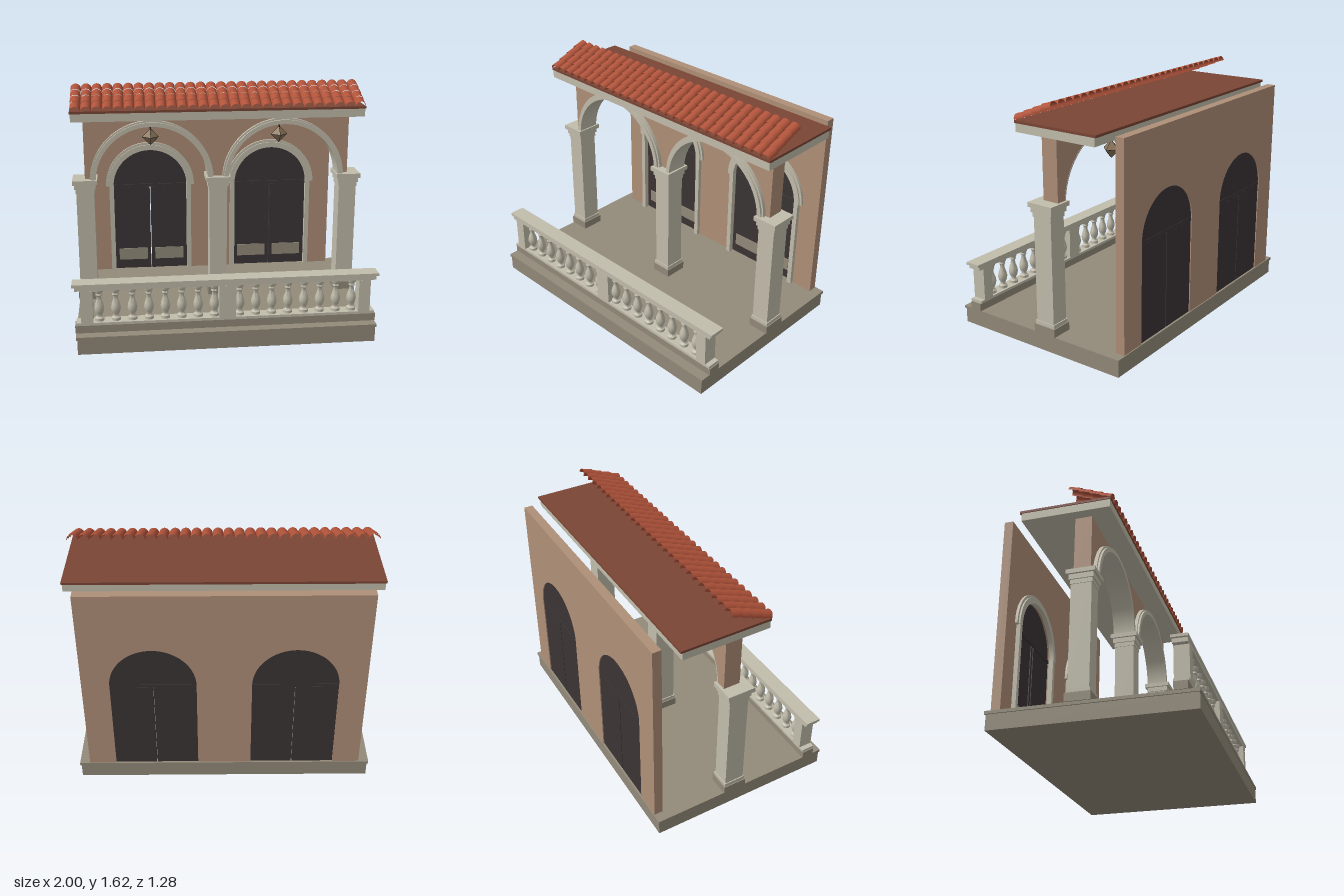
import * as THREE from 'three';
import { toCreasedNormals } from 'three/addons/utils/BufferGeometryUtils.js';

const mat = (name, color, side = THREE.FrontSide) => {
  const m = new THREE.MeshStandardMaterial({ color, side });
  m.name = name;
  return m;
};

export function createModel() {
  const M = {
    stone: mat('pale stone', 0xc2bdac),
    base: mat('grey stone', 0x938b7a),
    wall: mat('tan plaster', 0xaf8f77),
    door: mat('dark wood', 0x3b3435),
    tile: mat('terracotta tile', 0xb1533a, THREE.DoubleSide),
    deck: mat('roof deck', 0x7a4535),
    iron: mat('iron', 0x2a2424),
    glass: mat('lantern glass', 0x8d7559),
  };
  const model = new THREE.Group();
  model.name = 'loggia';
  const BAYS = [-0.455, 0.455];

  const group = (name, parent = model) => {
    const g = new THREE.Group();
    g.name = name;
    parent.add(g);
    return g;
  };
  const add = (name, geo, m, parent = model) => {
    const mesh = new THREE.Mesh(geo, m);
    mesh.name = name;
    parent.add(mesh);
    return mesh;
  };
  // box given by its limits on each axis
  const box = (name, [x0, x1], [y0, y1], [z0, z1], m, parent) => {
    const mesh = add(name, new THREE.BoxGeometry(x1 - x0, y1 - y0, z1 - z0), m, parent);
    mesh.position.set((x0 + x1) / 2, (y0 + y1) / 2, (z0 + z1) / 2);
    return mesh;
  };
  const extrude = (name, shape, z0, z1, m, parent) => {
    const geo = new THREE.ExtrudeGeometry(shape, { depth: z1 - z0, bevelEnabled: false, curveSegments: 28 });
    const mesh = add(name, toCreasedNormals(geo, 0.6), m, parent);
    mesh.position.z = z0;
    return mesh;
  };
  // wall outline with an arched notch in each bay
  const arcadeShape = (w, y0, y1, r, spring) => {
    const s = new THREE.Shape();
    s.moveTo(-w, y0);
    for (const cx of BAYS) {
      s.lineTo(cx - r, y0);
      if (spring > y0) s.lineTo(cx - r, spring);
      s.absarc(cx, spring, r, Math.PI, 0, true);
      if (spring > y0) s.lineTo(cx + r, y0);
    }
    s.lineTo(w, y0);
    s.lineTo(w, y1);
    s.lineTo(-w, y1);
    s.closePath();
    return s;
  };
  // half ring for arch mouldings
  const ringShape = (cx, cy, rOut, rIn) => {
    const s = new THREE.Shape();
    s.absarc(cx, cy, rOut, 0, Math.PI, false);
    s.absarc(cx, cy, rIn, Math.PI, 0, true);
    s.closePath();
    return s;
  };

  // floor platform
  box('platform', [-0.972, 0.972], [0, 0.1], [-0.635, 0.637], M.base);
  box('floorSlab', [-0.98, 0.98], [0.1, 0.12], [-0.642, 0.642], M.base);

  // rear wall with two doorways
  extrude('rearWall', arcadeShape(0.912, 0.12, 1.465, 0.278, 0.785), -0.635, -0.575, M.wall);
  for (const cx of BAYS) {
    const d = group('doorway');
    for (const s of [-1, 1]) {
      const span = (a, b) => [cx + Math.min(s * a, s * b), cx + Math.max(s * a, s * b)];
      box('doorLeaf', span(0.003, 0.278), [0.12, 0.765], [-0.628, -0.59], M.door, d);
      box('doorStile', span(0.006, 0.03), [0.12, 0.765], [-0.59, -0.584], M.door, d);
      box('kickPanel', span(0.028, 0.245), [0.19, 0.28], [-0.59, -0.583], M.base, d);
      box('jamb', span(0.272, 0.305), [0.12, 0.79], [-0.58, -0.547], M.stone, d);
    }
    box('transom', [cx - 0.278, cx + 0.278], [0.768, 0.79], [-0.631, -0.58], M.door, d);
    const fan = new THREE.Shape();
    fan.absarc(cx, 0.785, 0.279, 0, Math.PI, false);
    extrude('fanlight', fan, -0.628, -0.59, M.door, d);
    extrude('doorArchOuter', ringShape(cx, 0.785, 0.33, 0.273), -0.576, -0.557, M.stone, d);
    extrude('doorArchInner', ringShape(cx, 0.785, 0.312, 0.273), -0.576, -0.546, M.stone, d);
  }

  // front arcade wall with moulded arches
  extrude('arcadeWall', arcadeShape(0.912, 0.965, 1.405, 0.388, 0.965), -0.145, -0.032, M.wall);
  for (const cx of BAYS) {
    extrude('archMouldingOuter', ringShape(cx, 0.96, 0.425, 0.384), -0.034, -0.008, M.stone);
    extrude('archMouldingInner', ringShape(cx, 0.96, 0.413, 0.384), -0.034, 0.006, M.stone);
    extrude('archSoffit', ringShape(cx, 0.96, 0.393, 0.384), -0.146, -0.034, M.stone);
  }

  // square columns: [half width, bottom, top, material]
  const tiers = [
    [0.081, 0.12, 0.175, M.base], [0.074, 0.175, 0.2, M.stone], [0.067, 0.2, 0.89, M.stone],
    [0.072, 0.89, 0.92, M.stone], [0.08, 0.92, 0.955, M.stone], [0.094, 0.955, 0.985, M.stone],
  ];
  for (const cx of [-0.913, 0, 0.913]) {
    const c = group('column');
    for (const [h, y0, y1, m] of tiers) {
      const w = h * 0.9;
      box('columnTier', [cx - w, cx + w], [y0, y1], [-0.07 - h, -0.07 + h], m, c);
    }
  }

  // balustrade
  const rail = group('balustrade');
  box('plinth', [-0.985, 0.985], [0.12, 0.172], [0.49, 0.574], M.base, rail);
  box('bottomRail', [-0.978, 0.978], [0.172, 0.19], [0.487, 0.577], M.stone, rail);
  box('underRail', [-0.98, 0.98], [0.41, 0.437], [0.485, 0.578], M.stone, rail);
  box('handRail', [-0.997, 0.997], [0.437, 0.455], [0.479, 0.584], M.stone, rail);
  for (const [x0, x1] of [[-0.945, -0.868], [-0.055, 0.055], [0.868, 0.945]])
    box('railPost', [x0, x1], [0.19, 0.41], [0.485, 0.579], M.stone, rail);
  const profile = [
    [0.03, 0], [0.03, 0.018], [0.018, 0.026], [0.016, 0.036], [0.026, 0.056], [0.032, 0.082],
    [0.028, 0.108], [0.017, 0.14], [0.014, 0.165], [0.022, 0.176], [0.018, 0.187], [0.028, 0.2], [0.028, 0.22],
  ].map(([x, y]) => new THREE.Vector2(x, y));
  const balusterGeo = toCreasedNormals(new THREE.LatheGeometry(profile, 14), 0.9);
  for (const s of [-1, 1])
    for (let i = 0; i < 8; i++)
      add('baluster', balusterGeo, M.stone, rail).position.set(s * (0.083 + i * 0.1065), 0.19, 0.532);

  // flat roof
  box('roofSlab', [-0.985, 0.985], [1.405, 1.46], [-0.485, 0.108], M.stone);
  box('roofDeck', [-0.99, 0.99], [1.46, 1.476], [-0.497, 0.112], M.deck);

  // four overlapping rows of barrel tiles
  const tiles = group('roofTiles');
  const R = 0.035, LEN = 0.08, TILT = 0.3;
  const tileGeo = new THREE.CylinderGeometry(R, R, LEN, 10, 1, true, -Math.PI / 2, Math.PI);
  tileGeo.rotateX(-Math.PI / 2); // crown up, axis along z
  tileGeo.translate(0, 0, -LEN / 2);
  tileGeo.rotateX(TILT);
  for (let row = 0; row < 4; row++)
    for (let i = 0; i < 28; i++)
      add('tile', tileGeo, M.tile, tiles).position.set((i - 13.5) * 0.0706, 1.477 + row * 0.0285, 0.114 - row * 0.0695);

  // hanging lanterns
  for (const cx of BAYS) {
    const l = group('lantern');
    l.position.set(cx, 1.233, -0.204);
    add('lanternBody', new THREE.OctahedronGeometry(0.057), M.glass, l);
    add('lanternRod', new THREE.CylinderGeometry(0.005, 0.005, 0.085, 8), M.iron, l).position.y = 0.09;
    // thin iron bars along the lantern edges
    const tips = [[1, 0], [0, 1], [-1, 0], [0, -1]].map(([x, z]) => new THREE.Vector3(x * 0.057, 0, z * 0.057));
    const bar = (a, b) => add('lanternBar', new THREE.TubeGeometry(new THREE.LineCurve3(a, b), 1, 0.002, 5), M.iron, l);
    tips.forEach((t, i) => {
      bar(t, tips[(i + 1) % 4]);
      for (const y of [-0.057, 0.057]) bar(t, new THREE.Vector3(0, y, 0));
    });
  }
  return model;
}
